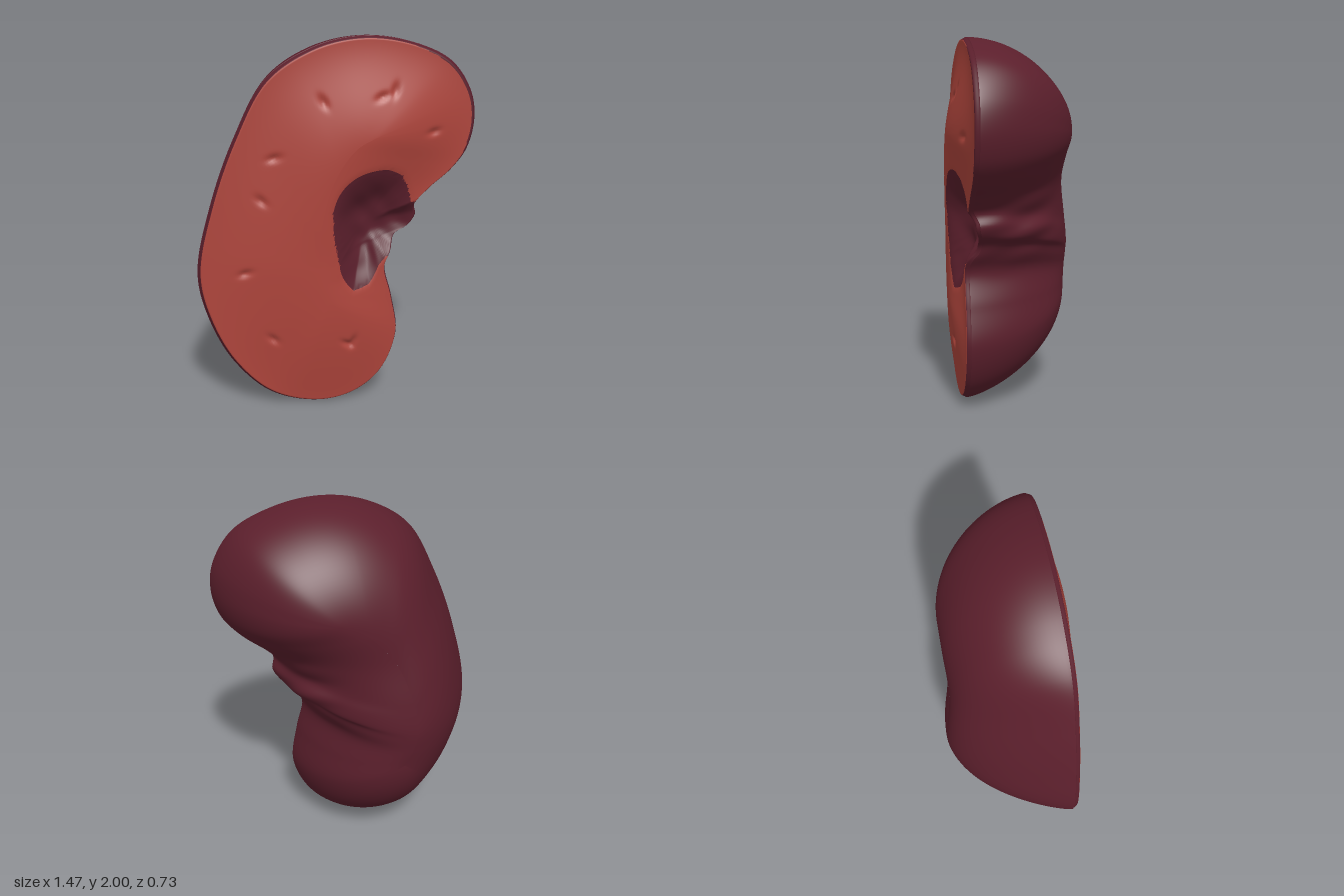
import * as THREE from 'three';

const capsuleMat = new THREE.MeshStandardMaterial({ color: 0x5b1f2c });
capsuleMat.name = 'darkMaroon';
const fleshMat = new THREE.MeshStandardMaterial({ color: 0xad443b });
fleshMat.name = 'brickRed';

const V = (a) => new THREE.Vector3(...a);
const smooth = THREE.MathUtils.smoothstep;

// Bean outline, counterclockwise: x, y, and the matching position along the spine
const outline = new THREE.CatmullRomCurve3([
  [0.733, 1.55, 0], [0.712, 1.7, 0], [0.6, 1.865, 0.02], [0.38, 1.967, 0.08], [0.13, 2, 0.15],
  [-0.12, 1.95, 0.24], [-0.36, 1.8, 0.33], [-0.53, 1.5, 0.47], [-0.66, 1.15, 0.62],
  [-0.735, 0.8, 0.78], [-0.69, 0.55, 0.9], [-0.56, 0.28, 1], [-0.36, 0.08, 1], [-0.1, 0.003, 1],
  [0.1, 0.04, 1], [0.25, 0.16, 1], [0.335, 0.38, 1], [0.305, 0.6, 0.95], [0.265, 0.78, 0.85],
  [0.305, 0.87, 0.78], [0.335, 0.945, 0.72], [0.405, 0.99, 0.66], [0.438, 1.05, 0.58],
  [0.425, 1.115, 0.5], [0.5, 1.2, 0.35], [0.62, 1.3, 0.15], [0.7, 1.41, 0.03],
].map(V), true);

// Spine: x, y and the z of the back surface there
const spine = new THREE.CatmullRomCurve3([
  [0.18, 1.5, -0.295], [0.05, 1.43, -0.3], [-0.1, 1.25, -0.305], [-0.19, 1, -0.345],
  [-0.21, 0.83, -0.362], [-0.19, 0.72, -0.352], [-0.15, 0.62, -0.335],
].map(V));

// Hollow: radius every 15 degrees around its middle
const hollowMid = [0.17, 1];
const hollowRadii = [0.45, 0.4, 0.26, 0.29, 0.33, 0.335, 0.32, 0.305, 0.285, 0.26, 0.235, 0.21,
  0.2, 0.2, 0.21, 0.24, 0.295, 0.345, 0.31, 0.215, 0.19, 0.24, 0.35, 0.42];
function hollowRatio(x, y) {
  const dx = x - hollowMid[0], dy = y - hollowMid[1];
  const a = ((Math.atan2(dy, dx) / (Math.PI * 2) + 1) % 1) * 24;
  const i = Math.floor(a) % 24;
  return Math.hypot(dx, dy) / THREE.MathUtils.lerp(hollowRadii[i], hollowRadii[(i + 1) % 24], a % 1);
}

// Small pits on the cut face: x, y, direction
const pits = [[-0.08, 1.68, 2.1], [0.22, 1.7, 0.4], [0.29, 1.73, 1.2], [0.5, 1.51, 0.1],
  [-0.33, 1.4, 0.2], [-0.4, 1.18, 2.4], [-0.49, 0.79, 0.2], [-0.35, 0.41, 2.5],
  [0.05, 0.36, 2.6], [0.08, 0.37, 1.2]];
function pitDepth(x, y) {
  let d = 0;
  for (const [px, py, a] of pits) {
    const c = Math.cos(a), s = Math.sin(a);
    const u = ((x - px) * c + (y - py) * s) / 0.035, v = ((y - py) * c - (x - px) * s) / 0.017;
    d += 0.014 * Math.exp(-u * u - v * v);
  }
  return d;
}

// Front surface height at distance r (0 spine, 1 rim) towards the outline point o
function frontZ(x, y, o, s, r) {
  const hollow = (1 - smooth(hollowRatio(x, y), 0.15, 1.1)) * 0.105 * (1 - 0.25 * r ** 4);
  const folds = hollow * 0.07 * Math.sin(y * 34 + x * 12) * Math.cos(x * 28);
  const lip = 0.025 * smooth(r, 0.965, 1) ** 2;
  const falloff = 1.3 + 0.9 * smooth(o.y, 0.2, 0.8) + smooth(-o.x, 0.2, 0.6);
  const bulge = (0.085 - 0.024 * smooth(s, 0, 0.7)) * (1 - r * r) ** falloff;
  return 0.279 + 0.01 * x + bulge - hollow + folds - lip - pitDepth(x, y);
}

export function createModel() {
  const columns = 320, front = 64, back = 32, rows = front + back;
  const rim = outline.getSpacedPoints(columns);
  const positions = [], radii = [];

  // Rings run from the front spine out to the rim, then over the back to the spine
  for (let i = 0; i <= rows; i++) {
    const isFront = i <= front;
    const phi = (1 - (i - front) / back) * Math.PI / 2;
    const r = isFront ? 1 - (1 - i / front) ** 1.6 : Math.sin(phi);
    radii.push(r);
    for (let j = 0; j < columns; j++) {
      const o = rim[j], s = THREE.MathUtils.clamp(o.z, 0, 1), c = spine.getPoint(s);
      // The crest of the cut face sits closer to the hollow than the back ridge
      if (isFront) c.x += 0.1 * smooth(s, 0, 0.6);
      let x = THREE.MathUtils.lerp(c.x, o.x, r), y = THREE.MathUtils.lerp(c.y, o.y, r), z;
      if (isFront) {
        // Pull nearby points onto the edge of the hollow for a clean border
        const q = hollowRatio(x, y);
        if (r < 0.95 && Math.abs(q - 1) < 0.028) {
          x = hollowMid[0] + (x - hollowMid[0]) / q;
          y = hollowMid[1] + (y - hollowMid[1]) / q;
        }
        z = frontZ(x, y, o, s, r);
      } else {
        // Dome, flatter towards the left flank and bottom, fuller at the top
        const z0 = frontZ(o.x, o.y, o, s, 1);
        const p = 1.4 - 0.1 * smooth(o.y, 0, 0.4) + 0.36 * smooth(-o.x, 0.2, 0.6)
          - 0.28 * smooth(o.y, 1.6, 1.95);
        z = z0 + (c.z - z0) * Math.max(0, Math.cos(phi)) ** p;
        // Wrinkles gathering towards the notch
        const w = Math.exp(-(((x - 0.36) / 0.15) ** 2) - ((y - 1.02) / 0.18) ** 2) * Math.cos(phi);
        x += 0.02 * w * Math.sin(y * 40 + z * 14);
      }
      positions.push(x, y, z);
    }
  }

  const all = [], flesh = [], capsule = [], hollow = [];
  const addTriangle = (i, ...abc) => {
    all.push(...abc);
    const x = abc.reduce((t, v) => t + positions[v * 3] / 3, 0);
    const y = abc.reduce((t, v) => t + positions[v * 3 + 1] / 3, 0);
    const edge = 0.974 - 0.022 * smooth(x, 0.35, 0.6) * smooth(y, 1.3, 1.5);
    let part = flesh;
    if (i >= front) part = capsule;
    else if (hollowRatio(x, y) < 1) part = hollow;
    else if (radii[i] > edge) part = capsule;
    part.push(...abc);
  };
  for (let i = 0; i < rows; i++) {
    for (let j = 0; j < columns; j++) {
      const k = (j + 1) % columns;
      const a = i * columns + j, b = a + columns, d = i * columns + k, c = d + columns;
      addTriangle(i, a, b, c);
      addTriangle(i, a, c, d);
    }
  }

  // Normals come from the whole skin, so the coloured parts join smoothly
  const skin = new THREE.BufferGeometry();
  skin.setAttribute('position', new THREE.Float32BufferAttribute(positions, 3));
  skin.setIndex(all);
  skin.computeVertexNormals();

  const group = new THREE.Group();
  group.name = 'halvedKidney';
  const addPart = (name, index, material) => {
    const g = new THREE.BufferGeometry();
    g.setAttribute('position', skin.getAttribute('position'));
    g.setAttribute('normal', skin.getAttribute('normal'));
    g.setIndex(index);
    const mesh = new THREE.Mesh(g, material);
    mesh.name = name;
    group.add(mesh);
  };
  addPart('cutFace', flesh, fleshMat);
  addPart('innerHollow', hollow, capsuleMat);
  addPart('outerCapsule', capsule, capsuleMat);
  return group;
}
